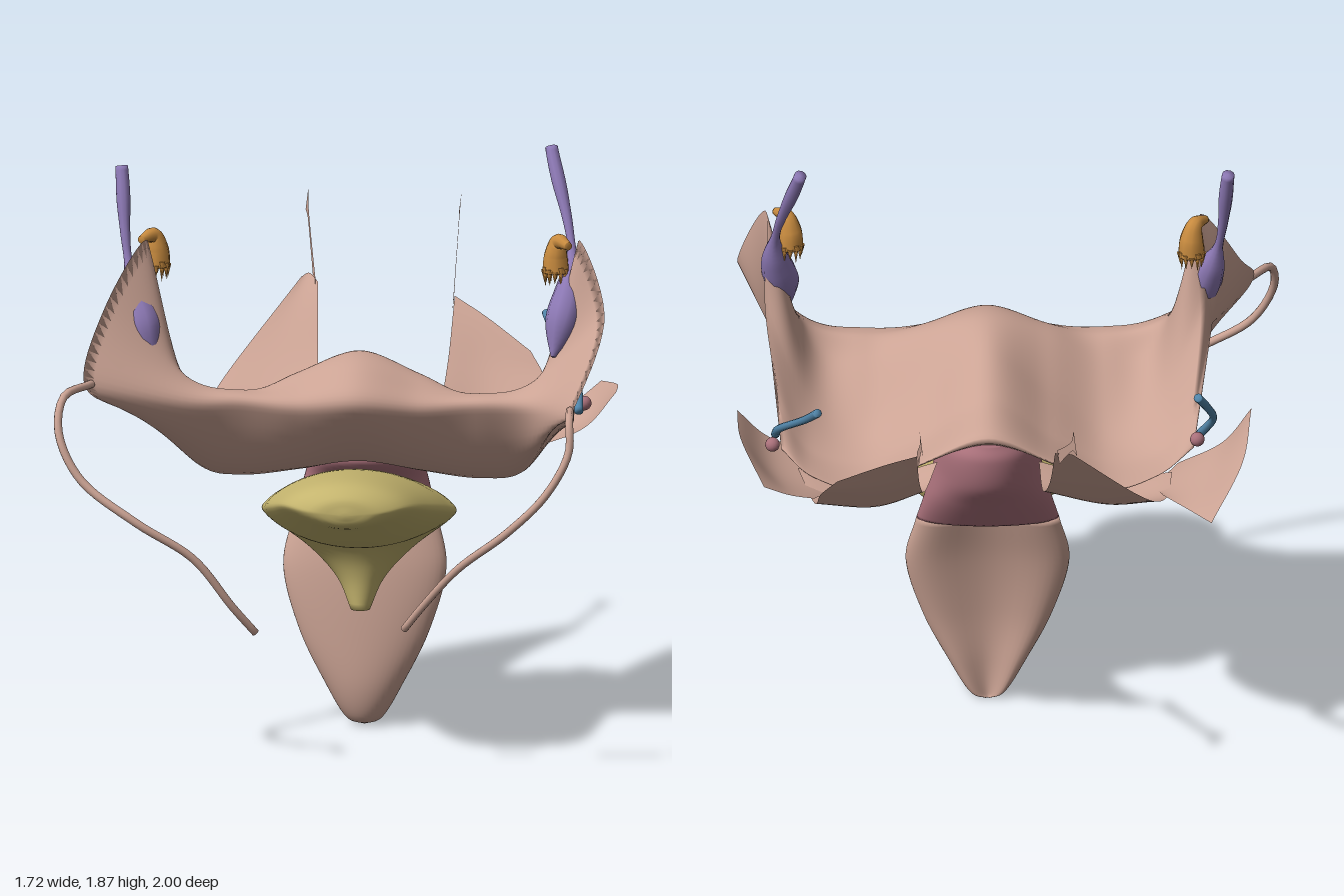
import * as THREE from 'three';
import { mergeVertices } from 'three/addons/utils/BufferGeometryUtils.js';

const material = (name, color) => {
  const m = new THREE.MeshStandardMaterial({ color, side: THREE.DoubleSide });
  m.name = name;
  return m;
};
const V = (p) => new THREE.Vector3(...p);
const CX = 0.06; // midline of the soft parts

// Smooth surface through control columns; optionally closed round each column and capped
function patch(columns, { nu = 24, nv = 24, closed = false, cap = false } = {}) {
  const curves = columns.map((c) => new THREE.CatmullRomCurve3(c.map(V), closed, 'catmullrom', 0.5));
  const pos = [], idx = [], w = nu + 1;
  for (let j = 0; j <= nv; j++) {
    const t = closed && j === nv ? 0 : j / nv;
    const across = new THREE.CatmullRomCurve3(curves.map((c) => c.getPoint(t)), false, 'catmullrom', 0.5);
    for (let i = 0; i <= nu; i++) pos.push(...across.getPoint(i / nu).toArray());
  }
  for (let j = 0; j < nv; j++) {
    for (let i = 0; i < nu; i++) {
      const a = j * w + i, b = a + 1, c = a + w, d = c + 1;
      idx.push(a, b, d, a, d, c);
    }
  }
  if (cap) {
    for (const i of [0, nu]) {
      const mid = new THREE.Vector3();
      for (let j = 0; j < nv; j++) mid.add(new THREE.Vector3().fromArray(pos, (j * w + i) * 3));
      mid.divideScalar(nv);
      const k = pos.length / 3;
      pos.push(mid.x, mid.y, mid.z);
      for (let j = 0; j < nv; j++) {
        const a = j * w + i, b = a + w;
        if (i === 0) idx.push(k, a, b); else idx.push(k, b, a);
      }
    }
  }
  let g = new THREE.BufferGeometry();
  g.setAttribute('position', new THREE.Float32BufferAttribute(pos, 3));
  g.setIndex(idx);
  g = mergeVertices(g, 1e-5);
  g.computeVertexNormals();
  return g;
}

// Loft of ellipses; section = [y, z, half width, half depth, tilt in degrees].
// dent hollows the back, pinch sharpens the sides.
function loft(sections, { dent = 0, pinch = 0 } = {}) {
  const rings = sections.map(([y, z, rx, rd, tilt = 0]) => {
    const a = THREE.MathUtils.degToRad(tilt);
    return Array.from({ length: 24 }, (_, i) => {
      const t = (i / 24) * Math.PI * 2, s = Math.sin(t);
      const d = rd * s * Math.abs(s) ** pinch * (s < 0 ? 1 - dent * s ** 4 : 1);
      return [CX + rx * Math.cos(t), y + d * Math.sin(a), z + d * Math.cos(a)];
    });
  });
  return patch(rings, { nu: 40, nv: 48, closed: true, cap: true });
}

// Tube whose radius runs through a list of values
function taper(points, radii, n = 40, sides = 10) {
  const curve = new THREE.CatmullRomCurve3(points.map(V));
  const rc = new THREE.CatmullRomCurve3(radii.map((r, i) => new THREE.Vector3(i, r, 0)), false, 'catmullrom', 0.5);
  const frames = curve.computeFrenetFrames(n);
  const rings = [];
  for (let i = 0; i <= n; i++) {
    const p = curve.getPointAt(i / n), r = rc.getPoint(i / n).y;
    rings.push(Array.from({ length: sides }, (_, k) => {
      const t = (k / sides) * Math.PI * 2;
      return p.clone().addScaledVector(frames.normals[i], r * Math.cos(t))
        .addScaledVector(frames.binormals[i], r * Math.sin(t)).toArray();
    }));
  }
  return patch(rings, { nu: n, nv: sides, closed: true, cap: true });
}

export function createModel() {
  const root = new THREE.Group();
  const pink = material('tissue pink', 0xcba394);
  const mauve = material('mauve', 0xa9707a);
  const olive = material('olive yellow', 0xc4b46e);
  const purple = material('purple', 0x8d79b5);
  const orange = material('orange', 0xc88b3f);
  const blue = material('blue', 0x5286aa);
  const add = (name, geo, mat) => {
    const m = new THREE.Mesh(geo, mat);
    m.name = name;
    root.add(m);
    return m;
  };

  // Central dome and broad folds: profiles from rear edge over the top to the front bottom
  const inner = [
    [[0, 1.04, -0.17], [0, 1.11, 0], [0, 1.19, 0.15], [0, 1.24, 0.32], [0, 1.2, 0.47], [0, 1.09, 0.55], [0, 0.88, 0.28]],
    [[0.2, 0.96, -0.15], [0.2, 0.98, 0], [0.2, 1.05, 0.15], [0.2, 1.17, 0.33], [0.2, 1.15, 0.44], [0.2, 1.07, 0.5], [0.2, 0.85, 0.28]],
    [[0.38, 0.88, -0.18], [0.38, 0.89, 0], [0.38, 0.94, 0.15], [0.38, 1.08, 0.33], [0.38, 1.13, 0.42], [0.38, 1.08, 0.48], [0.38, 0.83, 0.28]],
    [[0.55, 0.9, -0.12], [0.56, 0.92, 0.02], [0.56, 1.0, 0.17], [0.56, 1.13, 0.34], [0.56, 1.17, 0.42], [0.56, 1.09, 0.52], [0.52, 0.86, 0.3]],
  ];
  const outerRight = [[0.71, 0.95, -0.02], [0.72, 1.05, 0.1], [0.76, 1.3, 0.28], [0.755, 1.61, 0.33],
    [0.845, 1.38, 0.44], [0.77, 1.15, 0.79], [0.7, 1.05, 0.44]];
  const outerLeft = [[-0.59, 0.95, -0.02], [-0.6, 1.05, 0.1], [-0.63, 1.3, 0.28], [-0.61, 1.59, 0.33],
    [-0.74, 1.38, 0.43], [-0.78, 1.18, 0.66], [-0.61, 1.05, 0.42]];
  const side = (c, s) => c.map(([x, y, z]) => [CX + s * x * (s < 0 ? 0.97 : 1), y, z]);
  add('domeAndFolds', patch([
    outerLeft, ...inner.slice(1).reverse().map((c) => side(c, -1)),
    ...inner.map((c) => side(c, 1)), outerRight,
  ], { nu: 72, nv: 64, closed: true, cap: true }), pink);

  // Rear wings, rising backwards: outer edge, middle, inner edge
  add('rearWingRight', patch([
    [[-0.52, 0.89, -0.08], [-0.5, 0.88, -0.24], [-0.42, 1.0, -0.46], [-0.2, 1.27, -0.69]],
    [[-0.32, 0.87, -0.08], [-0.32, 0.86, -0.24], [-0.28, 1.02, -0.46], [-0.175, 1.28, -0.7]],
    [[-0.1, 0.94, -0.1], [-0.11, 0.91, -0.24], [-0.13, 1.05, -0.46], [-0.145, 1.26, -0.66]],
  ]), pink);
  add('rearWingLeft', patch([
    [[0.66, 0.91, -0.08], [0.61, 0.88, -0.26], [0.59, 1.0, -0.43], [0.54, 1.08, -0.5]],
    [[0.44, 0.87, -0.08], [0.42, 0.86, -0.25], [0.41, 1.02, -0.45], [0.4, 1.17, -0.57]],
    [[0.22, 0.94, -0.1], [0.26, 0.91, -0.24], [0.28, 1.04, -0.44], [0.29, 1.23, -0.62]],
  ]), pink);

  // Thin flared strands trailing from the wings
  const strand = (name, a, b) => {
    const edge = (s) => [[0, 0.02], [0.4, 0.014], [0.75, 0.012], [0.88, 0.018], [1, 0.037]].map(([t, h]) => {
      const p = V(a).lerp(V(b), t);
      return [p.x + s * h * 0.15, p.y + s * h, p.z + s * h * 0.5];
    });
    add(name, patch([edge(1), edge(-1)], { nu: 2 }), pink);
  };
  strand('rearStrandRight', [-0.155, 1.245, -0.66], [-0.205, 1.46, -0.98]);
  strand('rearStrandLeft', [0.287, 1.205, -0.59], [0.28, 1.46, -0.98]);

  // Side flaps: upturned outer edge, middle, inner edge
  add('sideFlapLeft', patch([
    [[0.85, 1.06, 0.03], [0.84, 1.05, -0.15], [0.77, 1.01, -0.4]],
    [[0.75, 0.95, 0.06], [0.73, 0.93, -0.15], [0.69, 0.95, -0.34]],
    [[0.58, 0.88, 0.06], [0.56, 0.86, -0.12], [0.61, 0.9, -0.27]],
  ]), pink);
  add('sideFlapRight', patch([
    [[-0.77, 1.12, -0.09], [-0.74, 1.02, -0.27], [-0.64, 0.91, -0.47]],
    [[-0.68, 0.97, -0.03], [-0.62, 0.92, -0.2], [-0.57, 0.89, -0.34]],
    [[-0.54, 0.87, 0.02], [-0.47, 0.86, -0.11], [-0.49, 0.88, -0.22]],
  ]), pink);

  // Hanging paddle with a hollow back, and the neck above it
  add('paddle', loft([[0, 0.1, 0.01, 0.01], [0.025, 0.11, 0.06, 0.05], [0.13, 0.115, 0.122, 0.072], [0.3, 0.11, 0.205, 0.07],
    [0.5, 0.085, 0.258, 0.07], [0.67, 0.045, 0.225, 0.068]], { dent: 0.8 }), pink);
  add('neck', loft([[0.67, 0.045, 0.225, 0.068], [0.78, 0.02, 0.195, 0.12], [0.87, 0.03, 0.17, 0.19],
    [0.97, -0.04, 0.135, 0.135], [1.02, -0.08, 0.08, 0.075]]), mauve);

  // Front pouch with pointed sides, bending down into a spout
  add('pouch', loft([[0.83, 0.905, 0.02, 0.01, 90], [0.837, 0.885, 0.12, 0.05, 90], [0.838, 0.8, 0.2, 0.08, 90],
    [0.795, 0.6, 0.255, 0.112, 95], [0.75, 0.4, 0.295, 0.125, 106], [0.715, 0.285, 0.298, 0.12, 132],
    [0.6, 0.25, 0.165, 0.08, 160], [0.5, 0.255, 0.075, 0.05, 180], [0.4, 0.272, 0.03, 0.028, 180]], { pinch: 0.4 }), olive);

  // Long curling cords at the front
  add('frontCordRight', taper([[-0.76, 1.19, 0.65], [-0.84, 1.17, 0.78], [-0.85, 1.07, 0.84], [-0.78, 0.93, 0.88],
    [-0.6, 0.8, 0.92], [-0.42, 0.68, 0.89], [-0.3, 0.52, 0.85], [-0.23, 0.43, 0.81]], [0.013, 0.013, 0.012]), pink);
  add('frontCordLeft', taper([[0.76, 1.15, 0.76], [0.77, 1.14, 0.92], [0.77, 1.05, 0.95], [0.7, 0.92, 0.98],
    [0.58, 0.8, 0.985], [0.42, 0.67, 0.93], [0.3, 0.53, 0.86], [0.24, 0.45, 0.82]], [0.013, 0.013, 0.012]), pink);

  // Purple bulbs on slender stems
  const bulb = [0.02, 0.022, 0.016, 0.015, 0.045, 0.054, 0.008];
  add('bulbRight', taper([[-0.7, 1.8, 0.2], [-0.67, 1.5, 0.29], [-0.585, 1.22, 0.4]], bulb), purple);
  add('bulbLeft', taper([[0.65, 1.86, 0.09], [0.73, 1.52, 0.27], [0.68, 1.25, 0.41]], bulb), purple);

  // Orange fringed trumpets drooping from the fold tips
  const trumpet = (name, x, y, z, s) => {
    const g = new THREE.Group();
    g.name = name;
    g.add(new THREE.Mesh(taper([[x, y, z + 0.06], [x + s * 0.035, y + 0.005, z + 0.01], [x + s * 0.045, y - 0.04, z],
      [x + s * 0.045, y - 0.095, z]], [0.013, 0.024, 0.038, 0.044]), orange));
    for (let i = 0; i < 12; i++) {
      const a = (i / 12) * Math.PI * 2;
      const f = new THREE.Mesh(new THREE.ConeGeometry(0.011, 0.04 + 0.012 * (i % 3), 6), orange);
      f.position.set(x + s * 0.045 + 0.036 * Math.cos(a), y - 0.107, z + 0.036 * Math.sin(a));
      f.rotation.x = Math.PI;
      g.add(f);
    }
    root.add(g);
  };
  trumpet('trumpetRight', -0.63, 1.585, 0.25, 1);
  trumpet('trumpetLeft', 0.725, 1.595, 0.3, -1);

  // Blue ducts and the small knobs beside them
  const duct = [0.014, 0.012, 0.014];
  add('ductRight', taper([[-0.6, 1.2, -0.17], [-0.63, 1.14, -0.12], [-0.65, 1.07, -0.06], [-0.61, 0.98, 0.01]], duct), blue);
  add('ductLeft', taper([[0.6, 1.24, -0.34], [0.64, 1.17, -0.25], [0.72, 1.05, -0.08], [0.73, 0.99, 0]], duct), blue);
  for (const [name, x, y, z] of [['knobRight', -0.6, 0.98, -0.03], ['knobLeft', 0.74, 1.0, -0.09]]) {
    add(name, new THREE.SphereGeometry(0.023, 16, 12), mauve).position.set(x, y, z);
  }
  return root;
}
